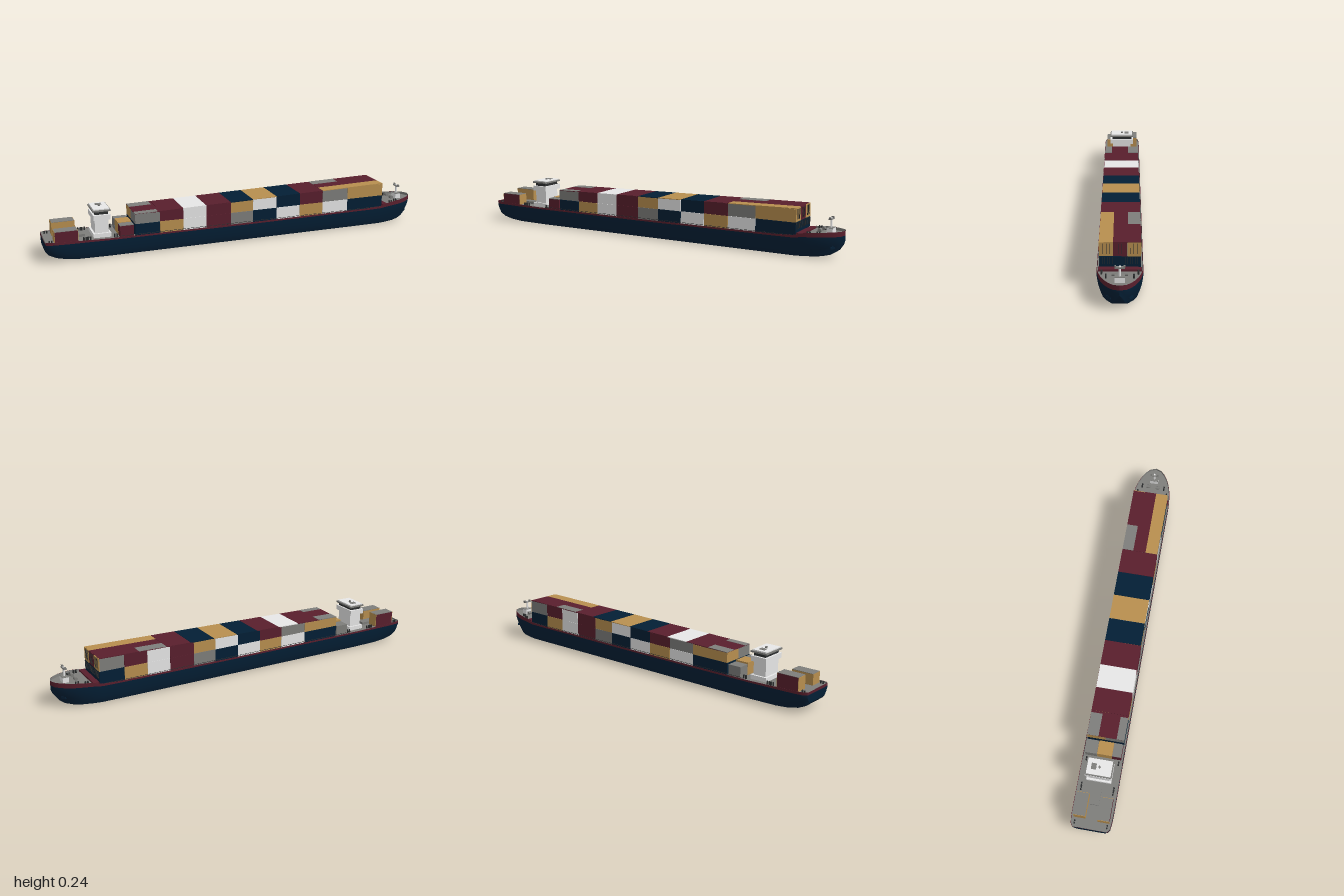
import * as THREE from 'three';
import { toCreasedNormals } from 'three/addons/utils/BufferGeometryUtils.js';

const mat = (name, color) => {
  const m = new THREE.MeshStandardMaterial({ color, side: THREE.DoubleSide });
  m.name = name;
  return m;
};

// x, half breadth, keel height, rail height, red band height, bottom breadth factor
const STATIONS = [
  [-1, 0, 0.05, 0.105, 0.014, 0.8], [-1, 0.086, 0.05, 0.105, 0.014, 0.8],
  [-0.985, 0.097, 0.034, 0.105, 0.014, 0.84], [-0.95, 0.101, 0.018, 0.104, 0.013, 0.86],
  [-0.9, 0.102, 0.007, 0.102, 0.012, 0.88], [-0.84, 0.102, 0.002, 0.1, 0.011, 0.9],
  [-0.7, 0.102, 0, 0.096, 0.009, 0.91], [0, 0.102, 0, 0.095, 0.009, 0.91],
  [0.7, 0.102, 0, 0.098, 0.009, 0.91], [0.78, 0.102, 0, 0.102, 0.012, 0.9],
  [0.82, 0.101, 0.001, 0.114, 0.018, 0.87], [0.87, 0.094, 0.003, 0.12, 0.021, 0.82],
  [0.91, 0.083, 0.006, 0.122, 0.022, 0.72], [0.945, 0.067, 0.014, 0.124, 0.023, 0.6],
  [0.97, 0.05, 0.03, 0.125, 0.023, 0.5], [0.99, 0.03, 0.058, 0.126, 0.023, 0.5],
  [1, 0, 0.08, 0.127, 0.023, 0.5],
];

// Skins a row of [z, y] sections running along +x
function loft(section) {
  const rows = STATIONS.map(section), n = rows[0].length, pos = [], idx = [];
  rows.forEach((r, i) => r.forEach(([z, y]) => pos.push(STATIONS[i][0], y, z)));
  for (let i = 0; i < rows.length - 1; i++) for (let j = 0; j < n - 1; j++) {
    const a = i * n + j, b = a + n;
    idx.push(a, b, a + 1, b, b + 1, a + 1);
  }
  const g = new THREE.BufferGeometry();
  g.setAttribute('position', new THREE.Float32BufferAttribute(pos, 3));
  g.setIndex(idx);
  return toCreasedNormals(g, 0.7);
}

export function createModel() {
  const ship = new THREE.Group();
  ship.name = 'containerShip';
  const C = {
    n: mat('navy', 0x031f35), r: mat('maroon', 0x591f2d), y: mat('ochre', 0xb88f4f),
    w: mat('white', 0xefefef), g: mat('grey', 0x7e7e7b), k: mat('darkMetal', 0x2c2e2f),
  };
  const add = (name, geo, m, parent = ship) => {
    const mesh = new THREE.Mesh(geo, m);
    mesh.name = name;
    parent.add(mesh);
    return mesh;
  };
  // Box from its min and max corners
  const box = (name, m, x0, x1, y0, y1, z0, z1, parent) => {
    const b = add(name, new THREE.BoxGeometry(x1 - x0, y1 - y0, z1 - z0), m, parent);
    b.position.set((x0 + x1) / 2, (y0 + y1) / 2, (z0 + z1) / 2);
    return b;
  };
  const rod = (name, m, r, h, x, y, z, parent) => {
    const c = add(name, new THREE.CylinderGeometry(r, r, h, 10), m, parent);
    c.position.set(x, y, z);
    return c;
  };

  // Hull, painted bulwark band and deck
  add('hull', loft(([, w, b, rail, band, f]) => {
    const top = rail - band, h = top - b;
    const half = [[w, top], [w, b + h * 0.8], [w * (0.55 + f * 0.45), b + h * 0.4],
      [w * f, b + h * 0.13], [w * f * 0.96, b + h * 0.04], [w * f * 0.86, b]];
    return [...half.map(([z, y]) => [-z, y]), [0, b], ...half.reverse()];
  }), C.n);
  const outer = ([, w, , rail, band]) => [[w, rail - band], [w, rail], [w * 0.985, rail]];
  const inner = ([, w, , rail, band]) => [[w * 0.985, rail], [w * 0.97, rail - band * 0.6]];
  const flip = (f) => (s) => f(s).reverse().map(([z, y]) => [-z, y]);
  add('bulwarkPort', loft(outer), C.r);
  add('bulwarkStarboard', loft(flip(outer)), C.r);
  add('innerBulwarkPort', loft(inner), C.g);
  add('innerBulwarkStarboard', loft(flip(inner)), C.g);
  add('deck', loft(([, w, , rail, band]) => [[w * 0.97, rail - band * 0.6], [-w * 0.97, rail - band * 0.6]]), C.g);

  // Anchors on the bow
  for (const s of [-1, 1]) {
    const a = new THREE.Group();
    a.name = 'anchor';
    box('anchorShank', C.n, -0.006, 0.006, -0.018, 0.018, -0.004, 0.004, a);
    box('anchorFlukes', C.n, -0.006, 0.007, -0.02, -0.01, -0.012, 0.012, a);
    a.position.set(0.953, 0.064, s * 0.045);
    a.rotation.y = -s * 0.7;
    ship.add(a);
  }

  // Cargo: each bay has a colour per side and tier; the far side repeats in reverse
  const cargo = new THREE.Group();
  cargo.name = 'cargo';
  ship.add(cargo);
  const upper = 'grwrywnrgy', lower = 'nywrgnwywn';
  const near = [-0.565, -0.44, -0.32, -0.2, -0.07, 0.05, 0.18, 0.31, 0.44, 0.585, 0.788];
  const far = near.map((x) => 0.223 - x).reverse();
  const topAt = (x) => 0.211 + x * 0.019;
  const splitAt = (x) => 0.154 + x * 0.008;
  for (let i = 0; i < 10; i++) for (const s of [1, -1]) {
    const e = s > 0 ? near : far, c = s > 0 ? i : 9 - i;
    const a = e[i] + 0.0005, b = e[i + 1] - 0.0005, m = (a + b) / 2;
    const z = s > 0 ? [0, 0.092] : [-0.092, 0];
    box('lowerContainers', C[lower[c]], a, b, 0.088, splitAt(m) - 0.0005, ...z, cargo);
    box('upperContainers', C[upper[c]], a, b, splitAt(m), topAt(m) - 0.002, ...z, cargo);
  }
  // Container roofs
  const roof = (m, x0, x1, z0, z1, up = 0) => {
    const y = topAt((x0 + x1) / 2) + up;
    box('containerRoof', C[m], x0 + 0.0005, x1 - 0.0005, y - 0.0025, y + 0.001, z0, z1, cargo)
      .rotation.z = 0.019;
  };
  [...'rrwrnynr'].forEach((m, i) => roof(m, near[i], near[i + 1], -0.092, 0.092));
  roof('r', 0.44, 0.788, -0.092, 0.03);
  roof('y', 0.44, 0.788, 0.03, 0.092);
  roof('g', 0.44, 0.585, -0.092, -0.035, 0.001);
  roof('g', -0.565, -0.45, 0.055, 0.092, 0.001);
  roof('g', -0.565, -0.45, -0.092, -0.035, 0.001);

  // Forward container ends with lock bars
  box('endLower', C.n, 0.787, 0.79, 0.09, 0.16, -0.092, 0.092, cargo);
  for (const [m, a, b] of [['y', -0.092, -0.032], ['r', -0.031, 0.031], ['y', 0.032, 0.092]]) {
    box('containerDoors', C[m], 0.787, 0.791, 0.161, 0.226, a, b, cargo);
    for (const t of [0.25, 0.42, 0.58, 0.75])
      box('lockBar', C.k, 0.791, 0.793, 0.172, 0.221, a + (b - a) * t - 0.0006, a + (b - a) * t + 0.0006, cargo);
  }
  for (let z = -0.088; z < 0.09; z += 0.011)
    box('lashingBar', C.k, 0.791, 0.793, 0.125, 0.158, z - 0.0008, z + 0.0008, cargo);
  box('breakwater', C.r, 0.794, 0.822, 0.098, 0.112, -0.096, 0.096);

  // Low stack between cargo and bridge
  box('lowStackNear', C.r, -0.64, -0.572, 0.088, 0.147, 0.045, 0.09, cargo);
  box('lowStackRoof', C.g, -0.64, -0.572, 0.147, 0.15, 0.045, 0.09, cargo);
  box('lowStackMiddle', C.y, -0.64, -0.572, 0.088, 0.152, -0.03, 0.044, cargo);
  box('lowStackFar', C.g, -0.64, -0.572, 0.088, 0.145, -0.09, -0.032, cargo);

  // Stern stacks: maroon outboard sides, ochre ends and inboard sides, grey roofs
  for (const [s, x0, x1, top] of [[1, -0.955, -0.845, 0.15], [-1, -0.95, -0.84, 0.163]]) {
    const span = (a, b) => [Math.min(s * a, s * b), Math.max(s * a, s * b)];
    box('sternContainer', C.r, x0, x1, 0.09, top, ...span(0.032, 0.088), cargo);
    box('sternContainerInboard', C.y, x0, x1, 0.09, top, ...span(0.03, 0.032), cargo);
    box('sternContainerRoof', C.g, x0, x1, top, top + 0.002, ...span(0.03, 0.088), cargo);
    for (const x of [x0 - 0.002, x1])
      box('sternContainerDoors', C.y, x, x + 0.002, 0.095, top, ...span(0.03, 0.088), cargo);
  }

  // Bridge
  const bridge = new THREE.Group();
  bridge.name = 'bridge';
  ship.add(bridge);
  box('bridgeBase', C.w, -0.765, -0.678, 0.088, 0.112, -0.062, 0.062, bridge);
  box('bridgeTower', C.w, -0.755, -0.688, 0.11, 0.182, -0.052, 0.052, bridge);
  box('bridgeWings', C.w, -0.763, -0.68, 0.18, 0.206, -0.066, 0.066, bridge);
  box('bridgeWindows', C.k, -0.753, -0.689, 0.206, 0.222, -0.055, 0.055, bridge);
  box('roofEaves', C.g, -0.765, -0.677, 0.222, 0.23, -0.066, 0.066, bridge);
  box('bridgeRoof', C.w, -0.76, -0.682, 0.23, 0.235, -0.06, 0.06, bridge);
  box('roofHatch', C.g, -0.735, -0.705, 0.235, 0.237, -0.04, -0.015, bridge);
  rod('radarMast', C.g, 0.006, 0.008, -0.72, 0.238, 0, bridge);

  // Side rails along the cargo deck
  for (const s of [-1, 1]) {
    box('sideRail', C.k, -0.66, 0.78, 0.1, 0.1015, s * 0.099 - 0.0007, s * 0.099 + 0.0007);
    for (let i = 0; i <= 48; i++)
      box('sideRailPost', C.k, -0.66 + i * 0.03, -0.6585 + i * 0.03, 0.09, 0.101, s * 0.099 - 0.0007, s * 0.099 + 0.0007);
  }

  // Deck fittings
  for (const x of [-0.975, -0.81, -0.79, -0.66, 0.85, 0.89]) for (const s of [-1, 1]) {
    const y = x > 0 ? 0.113 : 0.1, z = s * (x > 0.87 ? 0.06 : 0.08);
    for (const dx of [-0.006, 0.006]) rod('bollard', C.k, 0.004, 0.018, x + dx, y, z);
  }
  box('sternHatch', C.g, -0.88, -0.8, 0.09, 0.106, -0.022, 0.022);

  // Bow windlass and foremast
  box('windlassBase', C.w, 0.915, 0.945, 0.108, 0.135, -0.022, 0.022);
  box('windlassTop', C.g, 0.915, 0.945, 0.135, 0.137, -0.022, 0.022);
  for (const s of [-1, 1]) {
    const drum = rod('windlassDrum', C.g, 0.009, 0.02, 0.885, 0.123, s * 0.025);
    drum.rotation.x = Math.PI / 2;
  }
  rod('foremast', C.w, 0.005, 0.05, 0.93, 0.158, 0);
  box('foremastPlatform', C.g, 0.922, 0.938, 0.174, 0.179, -0.022, 0.022);
  for (const z of [-0.019, 0.019]) box('foremastLamp', C.g, 0.925, 0.935, 0.179, 0.186, z - 0.004, z + 0.004);
  return ship;
}
